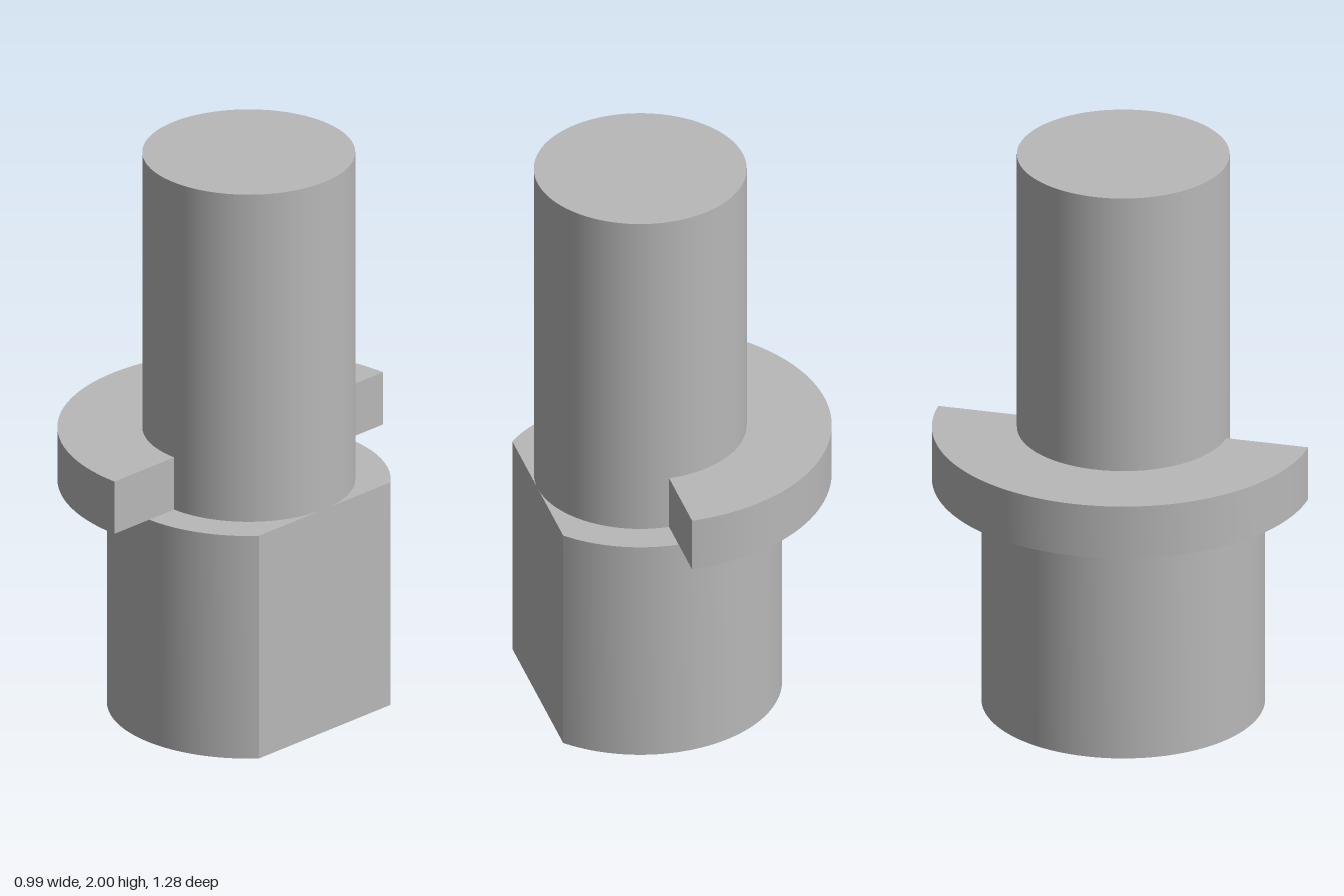
import * as THREE from 'three';
import { toCreasedNormals } from 'three/addons/utils/BufferGeometryUtils.js';

const AXIS_X = 0.14;
const SHAFT_R = 0.355, BASE_R = 0.473, COLLAR_R = 0.638;
const COLLAR_BOTTOM = 0.81, COLLAR_TOP = 1.0, TOP = 2.0;

export function createModel() {
  const group = new THREE.Group();
  group.name = 'flattedPin';
  const steel = new THREE.MeshStandardMaterial({ color: 0xb8b8b8 });
  steel.name = 'steel grey';

  const add = (name, geometry, y) => {
    const mesh = new THREE.Mesh(geometry, steel);
    mesh.name = name;
    mesh.position.set(AXIS_X, y, 0);
    group.add(mesh);
  };

  // Extrudes a plan outline upwards, smooth on the round walls
  const prism = (shape, height) => {
    const g = new THREE.ExtrudeGeometry(shape, { depth: height, bevelEnabled: false, curveSegments: 64 });
    g.rotateX(-Math.PI / 2);
    return toCreasedNormals(g, 0.5);
  };

  // Round base with one flat, tangent to the shaft
  const a = Math.acos(SHAFT_R / BASE_R);
  const baseShape = new THREE.Shape();
  baseShape.absarc(0, 0, BASE_R, a, 2 * Math.PI - a, false);
  baseShape.closePath();
  add('base', prism(baseShape, COLLAR_BOTTOM), 0);

  // Half-ring collar on the side opposite the flat
  const collarShape = new THREE.Shape();
  collarShape.absarc(0, 0, COLLAR_R, Math.PI / 2, 1.5 * Math.PI, false);
  collarShape.absarc(0, 0, SHAFT_R - 0.005, 1.5 * Math.PI, Math.PI / 2, true);
  collarShape.closePath();
  add('collar', prism(collarShape, COLLAR_TOP - COLLAR_BOTTOM), COLLAR_BOTTOM);

  // Upright shaft
  const shaftHeight = TOP - COLLAR_BOTTOM;
  add('shaft', new THREE.CylinderGeometry(SHAFT_R, SHAFT_R, shaftHeight, 96), COLLAR_BOTTOM + shaftHeight / 2);

  return group;
}
